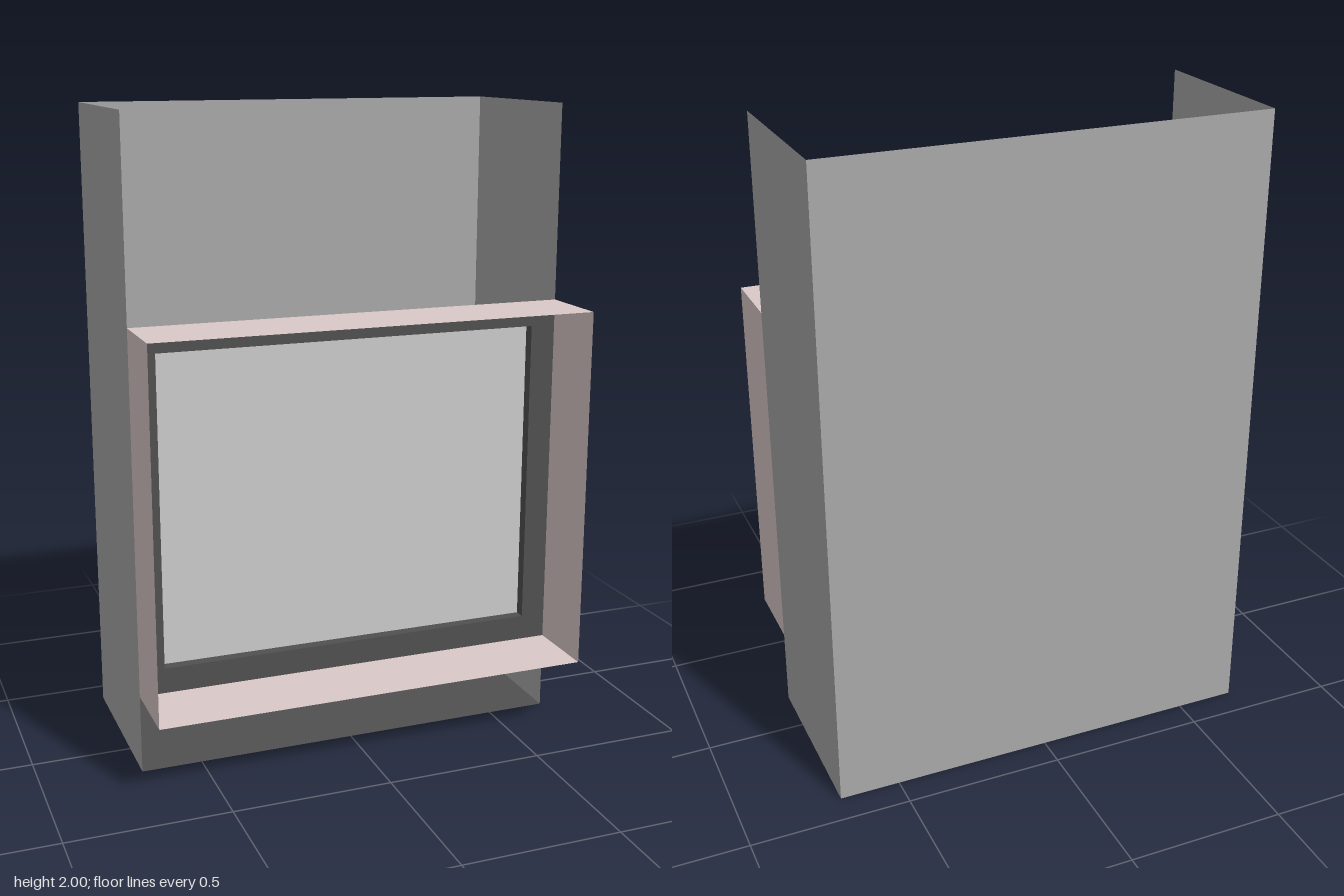
import * as THREE from 'three';

const W = 0.69, BACK = -0.405, FRONT = 0.165, HOOD = 0.405, RECESS = 0.13;

const paint = (color) => new THREE.MeshStandardMaterial({ color, side: THREE.DoubleSide, flatShading: true });

// Thin upright or level sheet between two opposite corners (one axis has no extent)
function sheet(name, material, [x0, y0, z0], [x1, y1, z1]) {
  const dx = x1 - x0, dy = y1 - y0, dz = z1 - z0;
  let geometry;
  if (dz === 0) geometry = new THREE.PlaneGeometry(dx, dy);
  else if (dx === 0) geometry = new THREE.PlaneGeometry(dz, dy).rotateY(Math.PI / 2);
  else geometry = new THREE.PlaneGeometry(dx, dz).rotateX(-Math.PI / 2);
  const mesh = new THREE.Mesh(geometry, material);
  mesh.name = name;
  mesh.position.set((x0 + x1) / 2, (y0 + y1) / 2, (z0 + z1) / 2);
  return mesh;
}

// Four-sided open sleeve running along z
function sleeve(name, material, w, y0, y1, z0, z1) {
  const group = new THREE.Group();
  group.name = name;
  group.add(
    sheet(name + 'Left', material, [w, y0, z0], [w, y1, z1]),
    sheet(name + 'Right', material, [-w, y0, z0], [-w, y1, z1]),
    sheet(name + 'Top', material, [-w, y1, z0], [w, y1, z1]),
    sheet(name + 'Bottom', material, [-w, y0, z0], [w, y0, z1]),
  );
  return group;
}

function rectangle(PathType, w, y0, y1) {
  return new PathType([[-w, y0], [w, y0], [w, y1], [-w, y1]].map(([x, y]) => new THREE.Vector2(x, y)));
}

export function createModel() {
  const model = new THREE.Group();
  model.name = 'displayCabinet';
  const grey = paint(0xa9a9a9), dark = paint(0x505050), pink = paint(0xdbc9c8), pale = paint(0xcccccc);

  // Cabinet, open at the top and front
  model.add(
    sheet('backPanel', grey, [-W, 0, BACK], [W, 2, BACK]),
    sheet('leftPanel', grey, [W, 0, BACK], [W, 2, FRONT]),
    sheet('rightPanel', grey, [-W, 0, BACK], [-W, 2, FRONT]),
    sheet('floor', dark, [-W, 0, BACK], [W, 0, FRONT]),
  );

  // Projecting hood around the screen
  model.add(sleeve('hood', pink, W, 0.25, 1.39, FRONT, HOOD));

  // Dark bezel with a rectangular opening
  const outline = rectangle(THREE.Shape, W, 0.25, 1.39);
  outline.holes.push(rectangle(THREE.Path, 0.61, 0.33, 1.31));
  const bezel = new THREE.Mesh(new THREE.ShapeGeometry(outline), dark);
  bezel.name = 'bezel';
  bezel.position.z = FRONT;
  model.add(bezel);

  // Recessed screen and its reveal
  model.add(
    sleeve('screenReveal', dark, 0.61, 0.33, 1.31, RECESS, FRONT),
    sheet('screen', pale, [-0.61, 0.33, RECESS], [0.61, 1.31, RECESS]),
  );
  return model;
}
